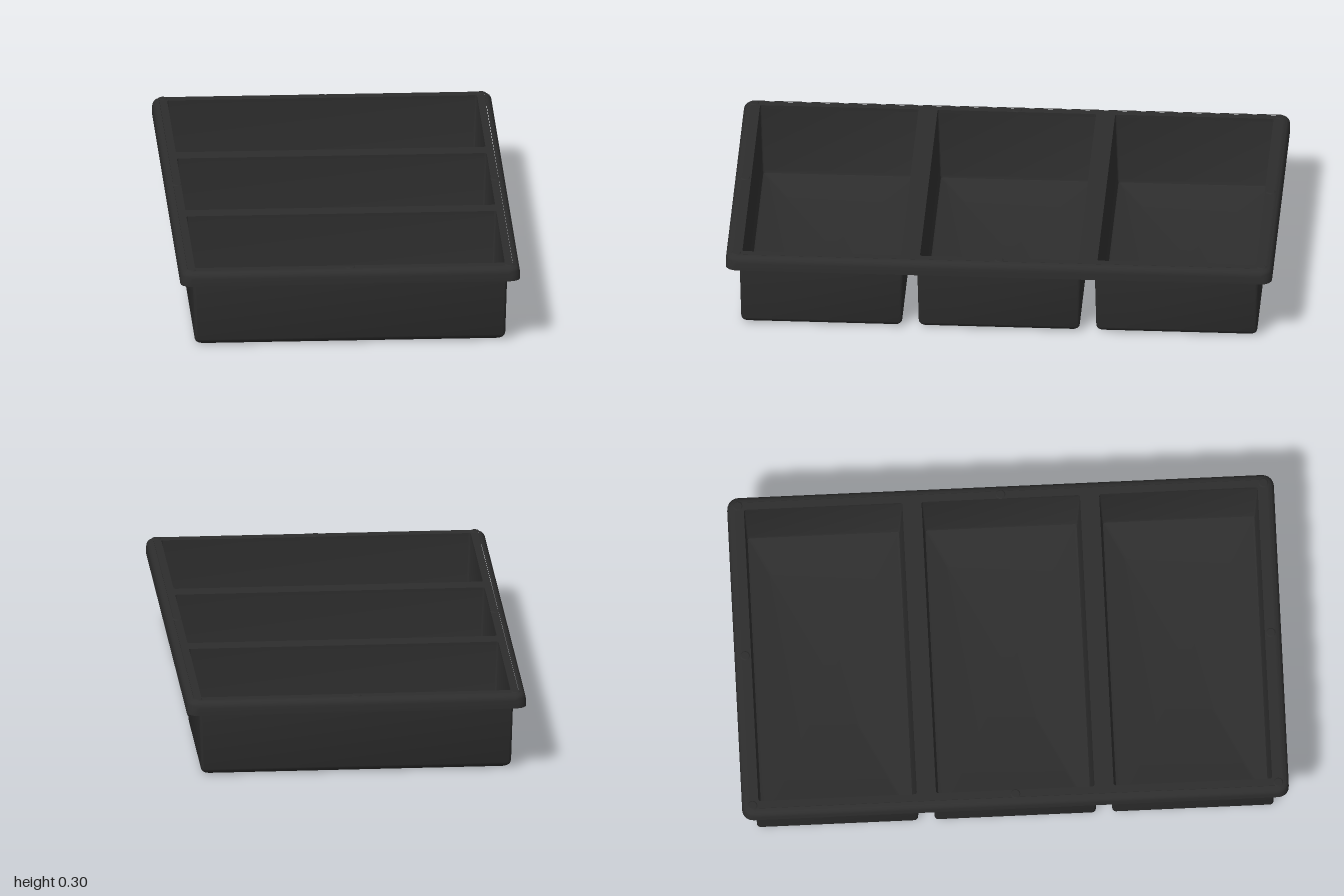
import * as THREE from 'three';
import { toCreasedNormals } from 'three/addons/utils/BufferGeometryUtils.js';

const black = new THREE.MeshStandardMaterial({ color: 0x2d2d2d });
black.name = 'black plastic';

// Outline points of a rounded rectangle, running from +x towards +z
function outline(hx, hz, r, steps = 5) {
  const pts = [];
  [[1, 1], [-1, 1], [-1, -1], [1, -1]].forEach(([sx, sz], q) => {
    for (let k = 0; k <= steps; k++) {
      const a = (q + k / steps) * Math.PI / 2;
      pts.push([sx * (hx - r) + r * Math.cos(a), sz * (hz - r) + r * Math.sin(a)]);
    }
  });
  return pts;
}

// Skin over stacked rounded rectangles, each [halfX, halfZ, y, cornerRadius]
function loft(rings) {
  const pos = [], idx = [];
  const n = outline(1, 1, 0.1).length;
  rings.forEach(([hx, hz, y, r], i) => {
    outline(hx, hz, r).forEach(([x, z], j) => {
      pos.push(x, y, z);
      if (i === rings.length - 1) return;
      const a = i * n + j, b = i * n + (j + 1) % n;
      idx.push(a, a + n, b, b, a + n, b + n);
    });
  });
  const g = new THREE.BufferGeometry();
  g.setAttribute('position', new THREE.Float32BufferAttribute(pos, 3));
  g.setIndex(idx);
  return toCreasedNormals(g, 0.6);
}

function add(parent, name, geometry) {
  const mesh = new THREE.Mesh(geometry, black);
  mesh.name = name;
  parent.add(mesh);
  return mesh;
}

export function createModel() {
  const tray = new THREE.Group();
  tray.name = 'compartmentTray';
  const TOP = 0.297, UNDER = 0.285;
  const centres = [-0.65, 0, 0.65];

  // Flat top frame with three openings
  const toVec = (dz) => ([x, z]) => new THREE.Vector2(x, z + dz);
  const shape = new THREE.Shape(outline(0.595, 0.975, 0.02).map(toVec(0)));
  centres.forEach((c) => shape.holes.push(new THREE.Path(outline(0.567, 0.29, 0.008).map(toVec(c)))));
  const frame = new THREE.ExtrudeGeometry(shape, { depth: TOP - UNDER, bevelEnabled: false });
  frame.rotateX(-Math.PI / 2);
  add(tray, 'topFrame', frame).position.y = UNDER;

  // Overhanging lip, hollow underneath, with a rounded upper edge
  const lip = [
    [0.595, 0.975, UNDER, 0.02], [0.609, 0.989, UNDER, 0.03],
    [0.609, 0.989, 0.245, 0.03], [0.622, 1, 0.245, 0.04],
  ];
  for (let k = 0; k <= 5; k++) {
    const a = k / 5 * Math.PI / 2, inset = 0.025 * (1 - Math.cos(a));
    lip.push([0.621 - inset, 1 - inset, TOP - 0.025 + 0.025 * Math.sin(a), 0.042 - inset * 0.88]);
  }
  add(tray, 'rimLip', loft(lip));

  // Bins: tapered outside with a rounded base, thin walls inside
  const R = 0.03;
  const outer = [[0, 0, 0, 0]];
  for (let k = 0; k <= 5; k++) {
    const a = k / 5 * Math.PI / 2, inset = R * (1 - Math.sin(a));
    outer.push([0.569 - inset, 0.295 - inset, R * (1 - Math.cos(a)), 0.012]);
  }
  outer.push([0.577, 0.301, UNDER, 0.012]);
  const inner = [
    [0.567, 0.29, UNDER, 0.008], [0.557, 0.28, 0.035, 0.008],
    [0.554, 0.277, 0.024, 0.008], [0.545, 0.268, 0.02, 0.008], [0, 0, 0.02, 0],
  ];
  const outerGeo = loft(outer), innerGeo = loft(inner);
  centres.forEach((z, i) => {
    const bin = new THREE.Group();
    bin.name = 'bin' + (i + 1);
    bin.position.z = z;
    add(bin, 'binOutside', outerGeo);
    add(bin, 'binInside', innerGeo);
    tray.add(bin);
  });

  // Low stacking nubs at the corners and the middle of each side
  const nub = new THREE.CylinderGeometry(0.014, 0.018, 0.003, 16);
  for (const x of [-1, 0, 1]) for (const z of [-1, 0, 1]) {
    if (x === 0 && z === 0) continue;
    add(tray, 'nub', nub).position.set(x * 0.583, TOP + 0.0015, z * 0.962);
  }
  return tray;
}
